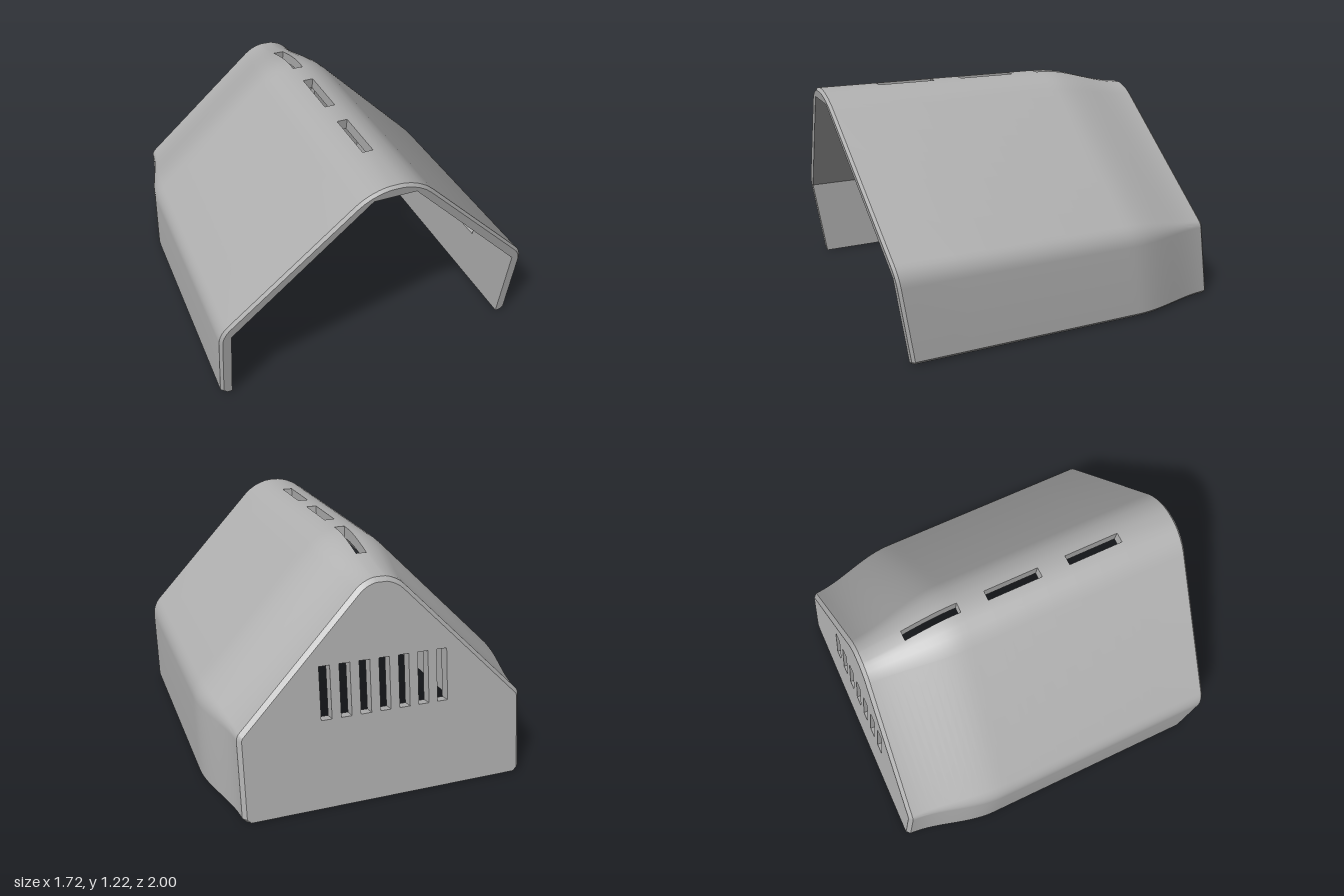
import * as THREE from 'three';
import { toCreasedNormals } from 'three/addons/utils/BufferGeometryUtils.js';

const LEAN = 0.15;            // both ends lean forward: z = u + LEAN * y
const BACK = -1, FRONT = 0.82, SLOT = 0.028;
const roofSlots = [[-0.745, -0.435], [-0.28, 0.03], [0.19, 0.5]];
const pockets = [[-0.225, -0.115], [0.335, 0.445]];
const POCKET_Y = [0.325, 0.375];

// Inward taper of the shell toward the back
const taper = u => 0.1 * (1 - THREE.MathUtils.smoothstep(u, -1, -0.47));
const mirror = half => [...half, ...half.map(([x, y]) => [-x, y]).reverse()];
const arc = (cx, cy, r, a) => [cx + r * Math.cos(a), cy + r * Math.sin(a)];

// Outer section: chamfered foot, rounded eaves, rounded ridge
function outerProfile(d) {
  const half = [[0.84 - d, 0], [0.86 - d, 0.02]];
  for (let a = 0; a <= 45; a += 9) half.push(arc(0.71, 0.413, 0.15 - d, THREE.MathUtils.degToRad(a)));
  const r = 0.283 - d;
  for (const a of [45, 36, 27, 18, 12]) half.push(arc(0, 0.935, r, THREE.MathUtils.degToRad(90 - a)));
  half.push(arc(0, 0.935, r, Math.PI / 2 - Math.asin(SLOT / r)));
  return mirror(half);
}

// Inner section: sharp corners and a flat strip under the ridge
function innerProfile(d) {
  const x = 0.8 - d, top = 1.155 - d;
  return mirror([[x, 0], [x, POCKET_Y[0]], [x, POCKET_Y[1]], [x, 0.45], [0.11, top], [SLOT, top]]);
}

const place = (profile, u) => profile.map(([x, y]) => [x, y, u + LEAN * y]);

function outerRow(u) {
  const bevel = u <= BACK ? 0.02 : u >= FRONT ? 0.015 : 0;
  return place(outerProfile(taper(u) + bevel), u);
}
const innerRow = u => place(innerProfile(taper(u)), u);

// Surface through rows of points, leaving out skipped cells
function sheet(rows, { flip = false, skip = () => false } = {}) {
  const pos = [];
  for (let i = 0; i < rows.length - 1; i++) {
    for (let j = 0; j < rows[i].length - 1; j++) {
      if (skip(i, j)) continue;
      const a = rows[i][j], b = rows[i][j + 1], c = rows[i + 1][j + 1], d = rows[i + 1][j];
      pos.push(...(flip ? [a, c, b, a, d, c] : [a, b, c, a, c, d]).flat());
    }
  }
  const g = new THREE.BufferGeometry();
  g.setAttribute('position', new THREE.Float32BufferAttribute(pos, 3));
  return toCreasedNormals(g, 0.35);
}

export function createModel() {
  const group = new THREE.Group();
  const grey = new THREE.MeshStandardMaterial({ color: 0xb0b0b0 });
  grey.name = 'grey plastic';
  const add = (name, geometry) => {
    const mesh = new THREE.Mesh(geometry, grey);
    mesh.name = name;
    group.add(mesh);
  };

  // Stations along the length, including every slot and pocket edge
  const stations = [BACK, -0.98, 0.805, FRONT, ...roofSlots.flat(), ...pockets.flat()];
  for (let u = -0.95; u < -0.46; u += 0.04) stations.push(u);
  stations.sort((a, b) => a - b);
  const innerStations = stations.filter(u => u >= -0.951);
  const within = (list, u) => list.some(([a, b]) => u >= a && u < b);

  // Shell skins
  const outerRidge = 13, innerRidge = 5;
  add('outerShell', sheet(stations.map(outerRow), {
    skip: (i, j) => j === outerRidge && within(roofSlots, stations[i]),
  }));
  add('innerShell', sheet(innerStations.map(innerRow), {
    flip: true,
    skip: (i, j) => (j === innerRidge && within(roofSlots, innerStations[i]))
      || ((j === 1 || j === 9) && within(pockets, innerStations[i])),
  }));

  // Bottom edges of both side walls
  add('leftFoot', sheet(innerStations.map(u => [innerRow(u)[0], outerRow(u)[0]])));
  add('rightFoot', sheet(innerStations.map(u => [outerRow(u).at(-1), innerRow(u).at(-1)])));

  // Front rim
  const rim = new THREE.Shape([...outerRow(FRONT), ...innerRow(FRONT).reverse()]
    .map(([x, y]) => new THREE.Vector2(x, y)));
  const rimGeometry = new THREE.ShapeGeometry(rim);
  const rp = rimGeometry.attributes.position;
  for (let i = 0; i < rp.count; i++) rp.setZ(i, FRONT + LEAN * rp.getY(i));
  rimGeometry.computeVertexNormals();
  add('frontRim', rimGeometry);

  // Walls of the ridge slots
  for (const [u0, u1] of roofSlots) {
    const us = stations.filter(u => u >= u0 && u <= u1);
    const o = (u, k) => outerRow(u)[outerRidge + k];
    const n = (u, k) => innerRow(u)[innerRidge + k];
    add('roofSlotLeftSide', sheet(us.map(u => [o(u, 0), n(u, 0)])));
    add('roofSlotRightSide', sheet(us.map(u => [n(u, 1), o(u, 1)])));
    add('roofSlotBackEnd', sheet([[o(u0, 0), o(u0, 1)], [n(u0, 0), n(u0, 1)]]));
    add('roofSlotFrontEnd', sheet([[o(u1, 1), o(u1, 0)], [n(u1, 1), n(u1, 0)]]));
  }

  // Shallow pockets inside the side walls: inside-out boxes open to the interior
  const depth = 0.03, height = POCKET_Y[1] - POCKET_Y[0];
  for (const side of [1, -1]) {
    for (const [u0, u1] of pockets) {
      const box = new THREE.BoxGeometry(depth, height, u1 - u0);
      box.translate(side * (0.8 + depth / 2), POCKET_Y[0] + height / 2, (u0 + u1) / 2);
      const p = box.attributes.position;
      for (let i = 0; i < p.count; i++) p.setZ(i, p.getZ(i) + LEAN * p.getY(i));
      const index = Array.from(box.index.array);
      index.splice(side > 0 ? 6 : 0, 6);
      box.setIndex(index.reverse());
      box.computeVertexNormals();
      add('wallPocket', box);
    }
  }

  // Back wall with seven upright vents cut square to its lean
  const wall = new THREE.Shape(outerRow(BACK).map(([x, y]) => new THREE.Vector2(x, y)));
  for (let k = -3; k <= 3; k++) {
    const x = k * 0.104, w = 0.028;
    wall.holes.push(new THREE.Path([[x - w, 0.455], [x - w, 0.725], [x + w, 0.725], [x + w, 0.455]]
      .map(([a, b]) => new THREE.Vector2(a, b))));
  }
  const wallGeometry = new THREE.ExtrudeGeometry(wall, { depth: 0.06, bevelEnabled: false });
  const wp = wallGeometry.attributes.position;
  for (let i = 0; i < wp.count; i++) {
    const w = wp.getZ(i);
    const y = wp.getY(i) - (wp.getY(i) > 0.1 ? LEAN * w : 0);
    wp.setXYZ(i, wp.getX(i), y, BACK + LEAN * y + w);
  }
  add('backWall', toCreasedNormals(wallGeometry, 0.35));

  return group;
}
